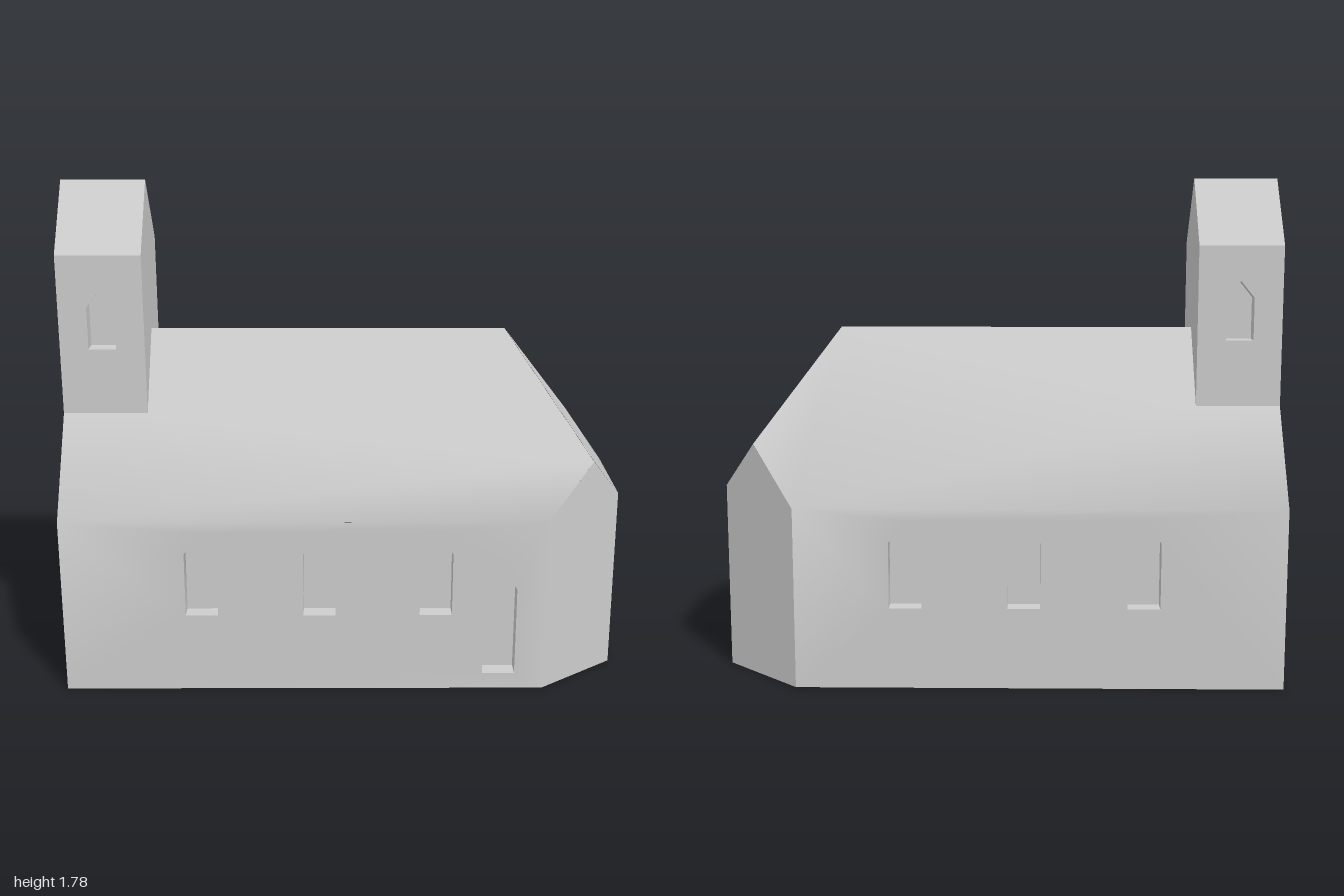
import * as THREE from 'three';
import { mergeGeometries, toCreasedNormals } from 'three/addons/utils/BufferGeometryUtils.js';

const V = (x, y, z) => new THREE.Vector3(x, y, z);
const CREASE = 0.66;
const NICHE_DEPTH = 0.06;

// Local frame of a planar outline given counter-clockwise as seen from outside
function frameOf(points) {
  const n = V(0, 0, 0);
  points.forEach((p, i) => n.add(p.clone().cross(points[(i + 1) % points.length])));
  n.normalize();
  const u = V(0, 1, 0).cross(n);
  if (u.length() < 0.001) u.set(1, 0, 0);
  u.normalize();
  return { n, u, v: n.clone().cross(u), o: points[0] };
}

// Flat polygon with optional holes
function face(points, holes = []) {
  const { n, u, v, o } = frameOf(points);
  const flat = (list) => list.map((p) => {
    const d = p.clone().sub(o);
    return new THREE.Vector2(d.dot(u), d.dot(v));
  });
  const shape = new THREE.Shape(flat(points));
  holes.forEach((h) => shape.holes.push(new THREE.Path(flat(h))));
  const geo = new THREE.ShapeGeometry(shape);
  geo.applyMatrix4(new THREE.Matrix4().makeBasis(u, v, n).setPosition(o));
  geo.deleteAttribute('uv');
  return geo.toNonIndexed();
}

// Pointed opening: sill centre, width, spring height and full height
function openingOutline(u, [x, y, z], width, spring, height) {
  const at = (s, h) => V(x, y + h, z).addScaledVector(u, s);
  const w = width / 2;
  return [at(-w, 0), at(w, 0), at(w, spring), at(0, height), at(-w, spring)];
}

// Reveals and back panel of a recessed opening
function nicheGeometry(outline, n) {
  const back = outline.map((p) => p.clone().addScaledVector(n, -NICHE_DEPTH));
  const geos = outline.map((a, i) => {
    const j = (i + 1) % outline.length;
    return face([a, outline[j], back[j], back[i]]);
  });
  geos.push(face(back));
  return toCreasedNormals(mergeGeometries(geos), CREASE);
}

export function createModel() {
  const group = new THREE.Group();
  const stone = new THREE.MeshStandardMaterial({ color: 0xcccccc });
  stone.name = 'pale stone';
  const add = (name, geo) => {
    const mesh = new THREE.Mesh(geo, stone);
    mesh.name = name;
    group.add(mesh);
  };

  // Shared corners, f = front (+z), b = back (-z)
  const W = 0.425, EAVE = 0.645, RIDGE = 1.24, T = 0.19, TB = 0.974, TE = 1.545, TR = 1.78;
  const fw0 = V(-1, 0, W), fw1 = V(-1, EAVE, W), bw0 = V(-1, 0, -W), bw1 = V(-1, EAVE, -W);
  const fc0 = V(0.72, 0, W), fc1 = V(0.72, EAVE, W), bc0 = V(0.72, 0, -W), bc1 = V(0.72, EAVE, -W);
  const fe0 = V(1, 0, 0.215), fe1 = V(1, 0.675, 0.215), be0 = V(1, 0, -0.165), be1 = V(1, 0.675, -0.165);
  const fp = V(0.89, 0.825, 0.297), bp = V(0.876, 0.848, -0.28);
  const ridgeE = V(0.59, RIDGE, 0), ridgeW = V(-0.7, RIDGE, 0);
  const fa0 = V(-1, TB, T), fa1 = V(-1, TE, T), fb0 = V(-0.7, TB, T), fb1 = V(-0.7, TE, T);
  const ba0 = V(-1, TB, -T), ba1 = V(-1, TE, -T), bb0 = V(-0.7, TB, -T), bb1 = V(-0.7, TE, -T);
  const topW = V(-1, TR, 0), topE = V(-0.7, TR, 0);

  // Openings: [name, sill centre, width, spring, height]
  const sideWindows = (z) => [-0.505, -0.085, 0.33].map(
    (x) => ['naveWindow', [x, 0.29, z], 0.115, 0.235, 0.315]);
  const towerWindow = (x, z) => ['towerWindow', [x, 1.21, z], 0.098, 0.15, 0.21];

  // [part, outline, openings]
  const faces = [
    ['walls', [fw0, fc0, fc1, fw1],
      [...sideWindows(W), ['sideDoor', [0.56, 0.06, W], 0.116, 0.33, 0.41]]],
    ['walls', [bc0, bw0, bw1, bc1], sideWindows(-W)],
    ['walls', [fc0, fe0, fe1, fp, fc1]],
    ['walls', [be0, bc0, bc1, bp, be1]],
    ['walls', [fe0, be0, be1, fe1], [['apseWindow', [1, 0.27, 0], 0.12, 0.23, 0.305]]],
    ['walls', [bw0, fw0, fw1, fa0, fa1, topW, ba1, ba0, bw1],
      [['westDoor', [-1, 0.055, 0], 0.12, 0.285, 0.36], towerWindow(-1, 0)]],
    ['floor', [fw0, bw0, bc0, be0, fe0, fc0]],
    ['roof', [fw1, fc1, fp, ridgeE, ridgeW, fb0, fa0]],
    ['roof', [bc1, bw1, ba0, bb0, ridgeW, ridgeE, bp]],
    ['roof', [fe1, be1, bp, ridgeE, fp]],
    ['tower', [fa0, fb0, fb1, fa1], [towerWindow(-0.85, T)]],
    ['tower', [bb0, ba0, ba1, bb1], [towerWindow(-0.85, -T)]],
    ['tower', [fb0, ridgeW, bb0, bb1, topE, fb1]],
    ['towerRoof', [fa1, fb1, topE, topW]],
    ['towerRoof', [bb1, ba1, topW, topE]],
  ];

  // Recessed windows and doors, cut out of their walls
  const geos = faces.map(([, outline, openings = []]) => {
    const { u, n } = frameOf(outline);
    const holes = openings.map(([name, ...spec]) => {
      const hole = openingOutline(u, ...spec);
      add(name, nicheGeometry(hole, n));
      return hole;
    });
    return face(outline, holes);
  });

  // Smooth the shell as a whole, then split it into named parts
  const shell = toCreasedNormals(mergeGeometries(geos), CREASE);
  const parts = {};
  let start = 0;
  faces.forEach(([part], i) => {
    const end = start + geos[i].attributes.position.count;
    const piece = new THREE.BufferGeometry();
    for (const key of ['position', 'normal']) {
      piece.setAttribute(key, new THREE.BufferAttribute(
        shell.attributes[key].array.slice(start * 3, end * 3), 3));
    }
    (parts[part] ??= []).push(piece);
    start = end;
  });
  for (const [part, list] of Object.entries(parts)) add(part, mergeGeometries(list));

  return group;
}
